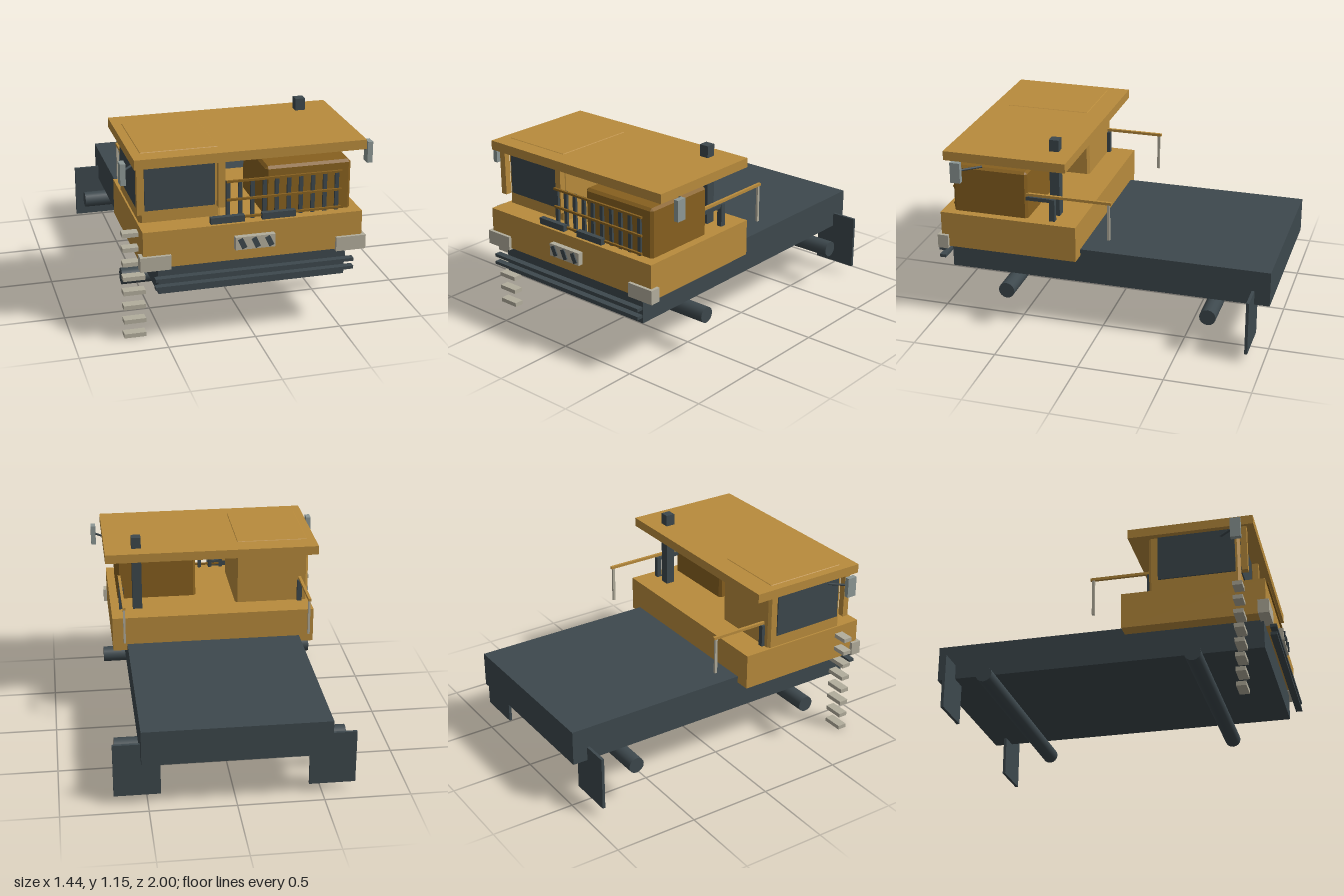
import * as THREE from 'three';
import { ConvexGeometry } from 'three/addons/geometries/ConvexGeometry.js';

const paint = (name, color) => {
  const m = new THREE.MeshStandardMaterial({ color });
  m.name = name;
  return m;
};

export function createModel() {
  const amber = paint('amber', 0xb88b3c);
  const brown = paint('brown', 0x87601f);
  const dark = paint('dark slate', 0x3d484d);
  const pale = paint('pale grey', 0xb2ad9c);
  const steel = paint('steel grey', 0x8d9896);

  const model = new THREE.Group();
  model.name = 'truck';

  const add = (name, geometry, material) => {
    const mesh = new THREE.Mesh(geometry, material);
    mesh.name = name;
    model.add(mesh);
    return mesh;
  };
  // Box given by its limits on each axis
  const box = (name, material, x0, x1, y0, y1, z0, z1) => {
    const mesh = add(name, new THREE.BoxGeometry(x1 - x0, y1 - y0, z1 - z0), material);
    mesh.position.set((x0 + x1) / 2, (y0 + y1) / 2, (z0 + z1) / 2);
    return mesh;
  };
  // Same box on both sides of the model
  const pair = (name, material, x0, x1, ...rest) => {
    box(name + 'Left', material, x0, x1, ...rest);
    box(name + 'Right', material, -x1, -x0, ...rest);
  };
  // Box with every edge chamfered by c
  const chamferBox = (name, material, x0, x1, y0, y1, z0, z1, c) => {
    const half = [(x1 - x0) / 2, (y1 - y0) / 2, (z1 - z0) / 2];
    const points = [];
    for (const sx of [-1, 1]) for (const sy of [-1, 1]) for (const sz of [-1, 1])
      for (let axis = 0; axis < 3; axis++) {
        const p = half.map((h, i) => (i === axis ? h : h - c));
        points.push(new THREE.Vector3(sx * p[0], sy * p[1], sz * p[2]));
      }
    const mesh = add(name, new ConvexGeometry(points), material);
    mesh.position.set((x0 + x1) / 2, (y0 + y1) / 2, (z0 + z1) / 2);
  };
  // Straight rod between two points
  const rod = (name, material, a, b, r, sides) => {
    const mesh = add(name, new THREE.CylinderGeometry(r, r, a.distanceTo(b), sides), material);
    mesh.position.lerpVectors(a, b, 0.5);
    mesh.quaternion.setFromUnitVectors(new THREE.Vector3(0, 1, 0), b.clone().sub(a).normalize());
  };
  const v = (x, y, z) => new THREE.Vector3(x, y, z);

  // Chassis, axles and mud flaps
  box('chassis', dark, -0.537, 0.537, 0.295, 0.505, -1, 0.925);
  rod('frontAxle', dark, v(-0.672, 0.245, 0.54), v(0.672, 0.245, 0.54), 0.048, 16);
  rod('rearAxle', dark, v(-0.672, 0.245, -0.67), v(0.672, 0.245, -0.67), 0.048, 16);
  pair('mudFlap', dark, 0.425, 0.693, 0.055, 0.38, -0.91, -0.893);

  // Main body, roof, hood and cab
  box('body', amber, -0.625, 0.625, 0.465, 0.68, 0.125, 0.953);
  box('roof', amber, -0.655, 0.655, 1.025, 1.08, 0.17, 0.905);
  chamferBox('hood', brown, 0.08, 0.575, 0.66, 0.967, 0.43, 0.887, 0.015);
  chamferBox('cab', amber, -0.615, -0.155, 0.66, 1.083, 0.285, 0.817, 0.015);
  box('windshield', dark, -0.585, -0.19, 0.75, 1.03, 0.816, 0.824);
  box('sideWindow', dark, -0.622, -0.614, 0.75, 1.03, 0.34, 0.79);
  for (const x of [-0.615, -0.16])
    box('cabPost', amber, x - 0.02, x + 0.02, 0.745, 1.03, 0.825, 0.862);

  // Exhaust stack
  box('exhaust', dark, 0.431, 0.489, 0.68, 1.15, 0.262, 0.319);

  // Front guard railing
  for (let i = 0; i < 10; i++) {
    const x = -0.135 + i * 0.0695;
    box('guardBar', dark, x - 0.011, x + 0.011, 0.68, 0.91, 0.885, 0.9);
  }
  for (const y of [0.697, 0.803, 0.91])
    box('guardRail', brown, -0.146, 0.516, y - 0.006, y + 0.006, 0.898, 0.912);
  pair('wiperBox', dark, 0.05, 0.242, 0.68, 0.717, 0.905, 0.935);

  // Front panel with slanted slots
  box('frontPanel', pale, -0.115, 0.112, 0.535, 0.61, 0.953, 0.985);
  for (const x of [-0.077, 0, 0.077]) {
    const slot = box('panelSlot', dark, x - 0.015, x + 0.015, 0.543, 0.603, 0.984, 0.992);
    slot.rotation.z = 0.45;
  }

  // Headlights and bumper bars
  pair('headlight', pale, 0.472, 0.645, 0.457, 0.54, 0.908, 0.972);
  box('upperBumper', dark, -0.567, 0.567, 0.401, 0.419, 0.962, 1);
  box('lowerBumper', dark, -0.567, 0.567, 0.353, 0.371, 0.962, 1);

  // Access ladder
  for (let i = 0; i < 8; i++) {
    const y = 0.0872 * i;
    box('ladderStep', pale, -0.715, -0.59, y, y + 0.025, 0.782, 0.838);
  }

  // Mirrors and their arms
  pair('mirror', steel, 0.688, 0.718, 0.917, 1.04, 0.78, 0.84);
  for (const s of [-1, 1])
    rod('mirrorArm', dark, v(s * 0.6, 0.987, 0.69), v(s * 0.7, 0.987, 0.805), 0.007, 8);

  // Rear handrails with their supports
  pair('handrail', amber, 0.553, 0.57, 0.821, 0.837, -0.073, 0.47);
  pair('handrailPost', pale, 0.555, 0.568, 0.6, 0.822, -0.064, -0.048);
  pair('handrailBase', dark, 0.545, 0.575, 0.68, 0.815, 0.265, 0.298);
  pair('handrailBrace', dark, 0.55, 0.57, 0.793, 0.815, 0.265, 0.45);

  return model;
}
